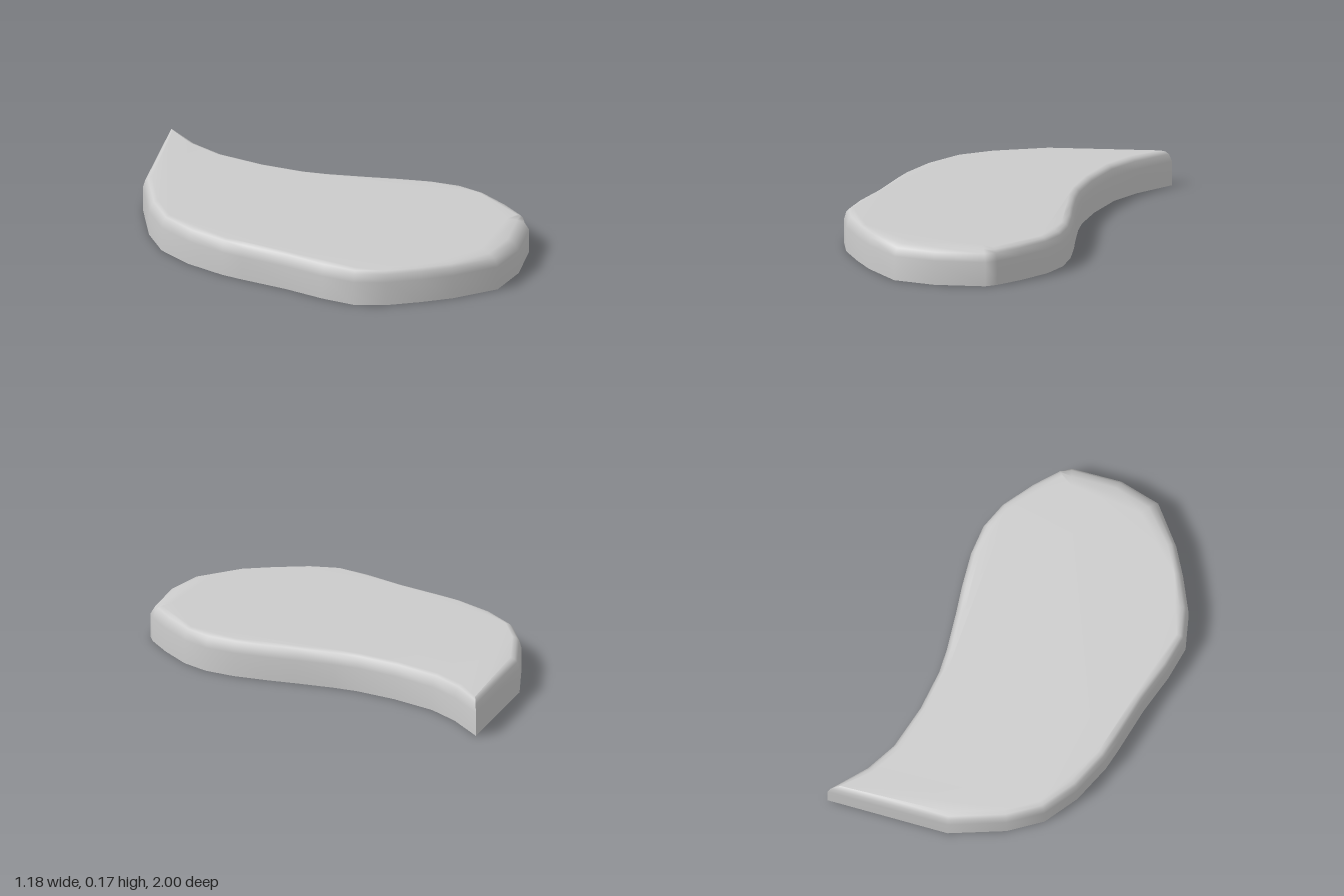
import * as THREE from 'three';

// Teardrop outline as [x, z], from the back tip along the left side to the front and back again
const OUTLINE = [
  [0.20, -1.00], [0.15, -0.80], [0.14, -0.64], [0.18, -0.43], [0.24, -0.25], [0.29, -0.15],
  [0.38, 0.00], [0.45, 0.11], [0.53, 0.25], [0.58, 0.38], [0.59, 0.51], [0.56, 0.67],
  [0.52, 0.80], [0.49, 0.85], [0.29, 0.96], [0.10, 1.00], [-0.10, 0.91], [-0.22, 0.83],
  [-0.35, 0.73], [-0.44, 0.62], [-0.48, 0.47], [-0.51, 0.28], [-0.56, 0.07], [-0.58, -0.03],
  [-0.59, -0.22], [-0.56, -0.40], [-0.47, -0.55], [-0.29, -0.74],
].map(([x, z]) => new THREE.Vector2(x, z));

// Rounded edge: height, inset all round, extra inset for the wider bevel at the front
const RINGS = [
  [0, 0, 0],
  [0.11, 0, 0],
  [0.145, 0.01, 0.01],
  [0.158, 0.022, 0.03],
  [0.165, 0.04, 0.055],
];

const COUNT = OUTLINE.length;

// Direction pointing inwards at an outline point, with a limited mitre
function inward(i) {
  const p = OUTLINE[i];
  const a = p.clone().sub(OUTLINE[(i + COUNT - 1) % COUNT]).normalize();
  const b = OUTLINE[(i + 1) % COUNT].clone().sub(p).normalize();
  const n = new THREE.Vector2(-a.y - b.y, a.x + b.x).normalize();
  const cos = n.dot(new THREE.Vector2(-a.y, a.x));
  return n.multiplyScalar(Math.min(1 / cos, 1.4));
}

function ringPoints([, inset, extra]) {
  return OUTLINE.map((p, i) => {
    const front = p.y > 0.82 && p.x > 0.05 ? extra : 0;
    return p.clone().addScaledVector(inward(i), inset + front);
  });
}

// Triangles filling a contour, all facing up or all facing down
function fill(points, offset, up) {
  return THREE.ShapeUtils.triangulateShape(points.slice(), []).flatMap(([a, b, c]) => {
    const u = points[b].clone().sub(points[a]);
    const v = points[c].clone().sub(points[a]);
    const facesUp = u.cross(v) < 0;
    return (facesUp === up ? [a, b, c] : [a, c, b]).map((k) => k + offset);
  });
}

function makeGeometry(positions, index) {
  const geometry = new THREE.BufferGeometry();
  geometry.setAttribute('position', new THREE.Float32BufferAttribute(positions, 3));
  geometry.setIndex(index);
  geometry.computeVertexNormals();
  return geometry;
}

// Wall, rounded edge and top; the tip is doubled so its edge stays sharp
function bodyGeometry() {
  const positions = [];
  const index = [];
  const stride = COUNT + 1;
  const rings = RINGS.map(ringPoints);
  rings.forEach((ring, r) => {
    for (let i = 0; i <= COUNT; i++) {
      const p = ring[i % COUNT];
      positions.push(p.x, RINGS[r][0], p.y);
    }
  });
  for (let r = 0; r < rings.length - 1; r++) {
    for (let i = 0; i < COUNT; i++) {
      const a = r * stride + i;
      const d = a + stride;
      index.push(a, d, d + 1, a, d + 1, a + 1);
    }
  }
  const last = rings.length - 1;
  index.push(...fill(rings[last], last * stride, true));
  return makeGeometry(positions, index);
}

function baseGeometry() {
  return makeGeometry(OUTLINE.flatMap((p) => [p.x, 0, p.y]), fill(OUTLINE, 0, false));
}

export function createModel() {
  const group = new THREE.Group();
  group.name = 'teardropSlab';
  const material = new THREE.MeshStandardMaterial({ color: 0xcccccc });
  const add = (name, geometry) => {
    const mesh = new THREE.Mesh(geometry, material);
    mesh.name = name;
    group.add(mesh);
  };
  add('slabBody', bodyGeometry());
  add('slabBase', baseGeometry());
  return group;
}
